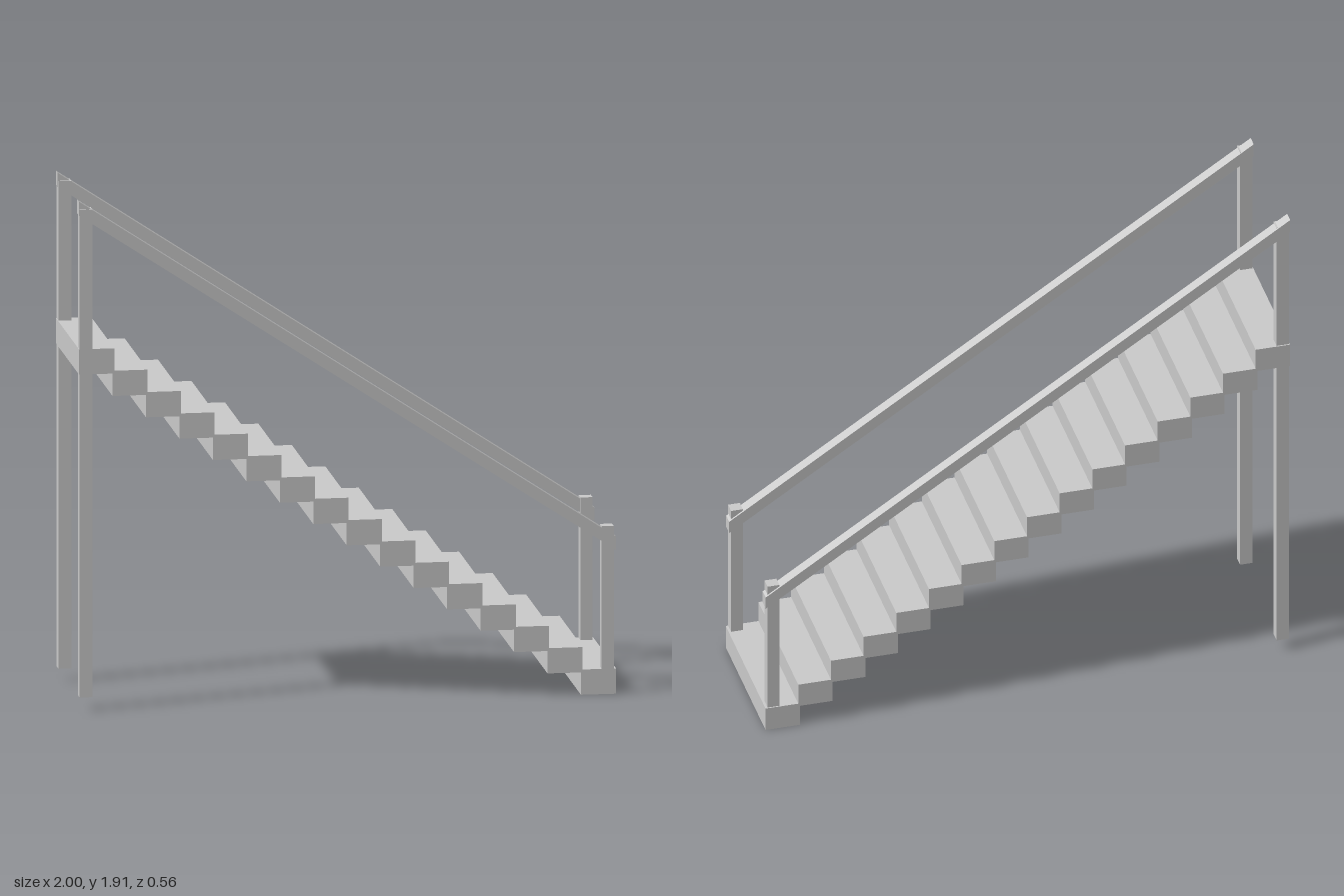
import * as THREE from 'three';

const material = new THREE.MeshStandardMaterial({ color: 0xcccccc, flatShading: true });

// Box given by its min and max corners
function box(name, [x0, y0, z0], [x1, y1, z1]) {
  const mesh = new THREE.Mesh(new THREE.BoxGeometry(x1 - x0, y1 - y0, z1 - z0), material);
  mesh.name = name;
  mesh.position.set((x0 + x1) / 2, (y0 + y1) / 2, (z0 + z1) / 2);
  return mesh;
}

// Sloping rail with upright ends, extruded along z
function rail(name, z, depth) {
  const shape = new THREE.Shape([
    new THREE.Vector2(-1, 1.862),
    new THREE.Vector2(1, 0.54),
    new THREE.Vector2(1, 0.59),
    new THREE.Vector2(-0.985, 1.905),
    new THREE.Vector2(-1, 1.915),
  ]);
  const geometry = new THREE.ExtrudeGeometry(shape, { depth, bevelEnabled: false });
  const mesh = new THREE.Mesh(geometry, material);
  mesh.name = name;
  mesh.position.z = z;
  return mesh;
}

export function createModel() {
  const model = new THREE.Group();
  model.name = 'staircase';

  // Solid treads, slightly overlapping from bottom to top
  const count = 16, width = 0.131, height = 0.095, halfDepth = 0.281;
  const run = (2 - width) / (count - 1), rise = (1.36 - height) / (count - 1);
  const steps = new THREE.Group();
  steps.name = 'steps';
  for (let i = 0; i < count; i++) {
    const x = 1 - i * run, y = i * rise;
    steps.add(box('step', [x - width, y, -halfDepth], [x, y + height, halfDepth]));
  }
  model.add(steps);

  // Posts and handrail on each side
  for (const [side, z] of [['left', 0.239], ['right', -0.276]]) {
    const railing = new THREE.Group();
    railing.name = side === 'left' ? 'frontRailing' : 'backRailing';
    railing.add(
      box('tallPost', [-0.998, 0.05, z], [-0.95, 1.885, z + 0.043]),
      box('shortPost', [0.946, 0.04, z], [0.991, 0.632, z + 0.043]),
      rail('handrail', z - 0.007, 0.043),
    );
    model.add(railing);
  }
  return model;
}
